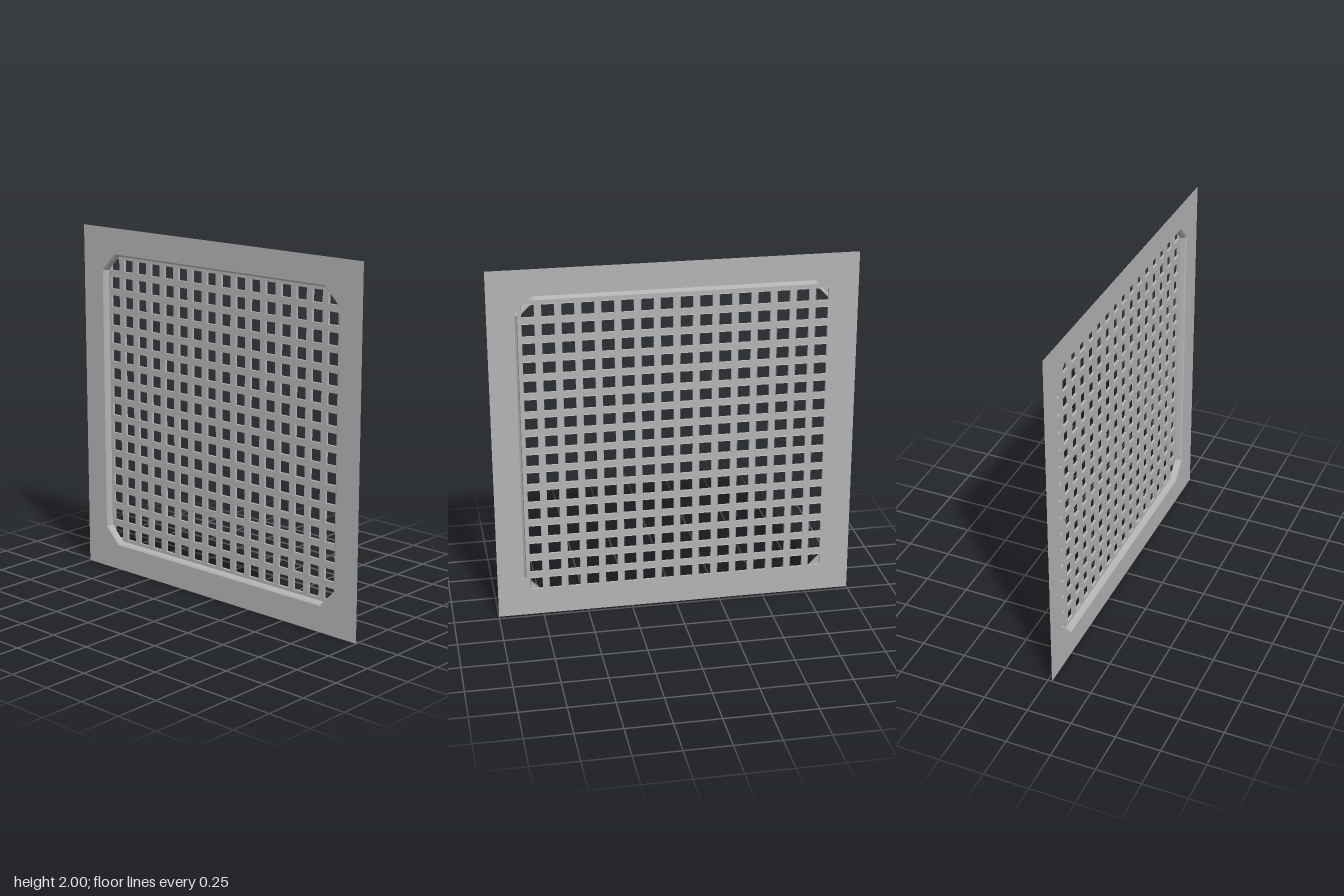
import * as THREE from 'three';
import { mergeGeometries } from 'three/addons/utils/BufferGeometryUtils.js';

const FRONT = 0.024, PLATE = -0.01, BACK = -0.024; // depths of sheet, plate and cell ends
const N = 16, PITCH = 0.105, HOLE = 0.067;         // square cells of the grille
const OPEN = 0.853, CUT = 0.095;                   // opening half size and corner cut

// Square with cut corners, inset evenly from the opening edge
function octagon(inset) {
  const h = OPEN - inset, k = h - (CUT - inset * 0.586);
  return [[h, -k], [h, k], [k, h], [-k, h], [-h, k], [-h, -k], [-k, -h], [k, -h]]
    .map(([x, y]) => new THREE.Vector2(x, y));
}

function square(half, cx = 0, cy = 0) {
  return [[-1, -1], [1, -1], [1, 1], [-1, 1]]
    .map(([x, y]) => new THREE.Vector2(cx + x * half, cy + y * half));
}

// Flat-faced band joining successive [inset, z] rings, facing inwards
function rimGeometry(profile) {
  const pos = [];
  for (let r = 0; r < profile.length - 1; r++) {
    const [i0, z0] = profile[r], [i1, z1] = profile[r + 1];
    const a = octagon(i0), b = octagon(i1);
    for (let i = 0; i < 8; i++) {
      const j = (i + 1) % 8;
      const p = [a[i].x, a[i].y, z0], q = [a[j].x, a[j].y, z0];
      const s = [b[i].x, b[i].y, z1], t = [b[j].x, b[j].y, z1];
      pos.push(...p, ...q, ...t, ...p, ...t, ...s);
    }
  }
  const g = new THREE.BufferGeometry();
  g.setAttribute('position', new THREE.Float32BufferAttribute(pos, 3));
  g.computeVertexNormals();
  return g;
}

export function createModel() {
  const group = new THREE.Group();
  const metal = new THREE.MeshStandardMaterial({ color: 0xb3b3b3, side: THREE.DoubleSide });
  metal.name = 'grey metal';
  const add = (name, geometry, z = 0) => {
    const mesh = new THREE.Mesh(geometry, metal);
    mesh.name = name;
    mesh.position.set(0, 1, z);
    group.add(mesh);
  };

  // Thin outer sheet with a cut-cornered opening
  const sheet = new THREE.Shape(square(1));
  sheet.holes.push(new THREE.Path(octagon(0)));
  add('outerSheet', new THREE.ShapeGeometry(sheet), FRONT);

  // Bevelled lip and recessed wall around the opening
  add('recessRim', rimGeometry([[0, FRONT], [0.009, 0.015], [0.015, PLATE]]));

  // Grille plate, plus a short square sleeve behind each hole
  const plate = new THREE.Shape(square(0.842));
  const sleeve = new THREE.CylinderGeometry(HOLE / Math.SQRT2, HOLE / Math.SQRT2, PLATE - BACK, 4, 1, true)
    .rotateY(Math.PI / 4).rotateX(Math.PI / 2).toNonIndexed();
  sleeve.computeVertexNormals();
  const sleeves = [];
  for (let i = 0; i < N; i++) {
    for (let j = 0; j < N; j++) {
      const x = (i - (N - 1) / 2) * PITCH, y = (j - (N - 1) / 2) * PITCH;
      plate.holes.push(new THREE.Path(square(HOLE / 2, x, y)));
      sleeves.push(sleeve.clone().translate(x, y, (PLATE + BACK) / 2));
    }
  }
  add('grillePlate', new THREE.ShapeGeometry(plate), PLATE);
  add('grilleSleeves', mergeGeometries(sleeves));

  return group;
}
